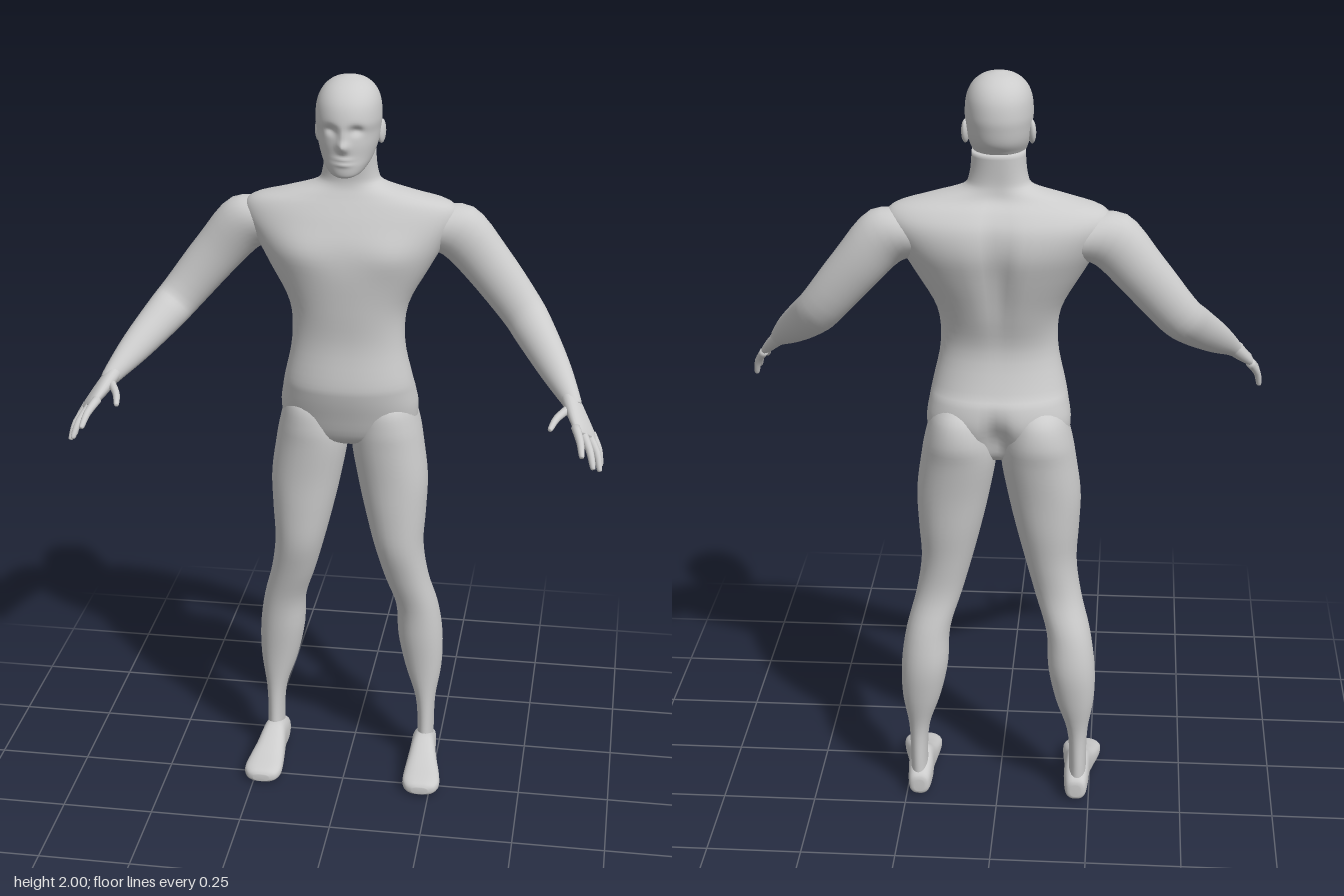
import * as THREE from 'three';

const V = (x, y, z) => new THREE.Vector3(x, y, z);
const skin = new THREE.MeshStandardMaterial({ color: 0xcccccc });
skin.name = 'plain grey';

const bump = (d, w) => Math.exp(-(d * d) / (w * w));
const power = (n, p) => Math.sign(n) * Math.abs(n) ** p;

// Smooth skin over elliptical sections {c, u, v}: centre and two half axes
function loft(name, sections, { seg = 28, sub = 4, p = 1, side = 1, sculpt } = {}) {
  const curves = ['c', 'u', 'v'].map(k => sections.map(s => s[k]));
  const last = sections.length - 1, rows = last * sub;
  const sample = (pts, t) => {
    const i = Math.min(Math.floor(t), last - 1), f = t - i;
    const at = j => pts[Math.max(0, Math.min(last, j))];
    const mix = k => {
      const [a, b, c, d] = [at(i - 1)[k], at(i)[k], at(i + 1)[k], at(i + 2)[k]];
      return b + 0.5 * f * (c - a + f * (2 * a - 5 * b + 4 * c - d + f * (3 * (b - c) + d - a)));
    };
    return V(mix('x'), mix('y'), mix('z'));
  };
  const pos = [], idx = [];
  const push = q => { if (sculpt) sculpt(q); pos.push(q.x * side, q.y, q.z); };
  for (let r = 0; r <= rows; r++) {
    const [c, u, v] = curves.map(pts => sample(pts, r / sub));
    for (let j = 0; j < seg; j++) {
      const a = (j / seg) * Math.PI * 2;
      push(c.clone().addScaledVector(u, power(Math.cos(a), p)).addScaledVector(v, power(Math.sin(a), p)));
    }
  }
  push(sections[0].c.clone());
  push(sections[last].c.clone());
  const capA = (rows + 1) * seg, capB = capA + 1;
  for (let j = 0; j < seg; j++) {
    const k = (j + 1) % seg, e = rows * seg;
    for (let r = 0; r < rows; r++) {
      const a = r * seg + j, b = r * seg + k;
      idx.push(a, b, b + seg, a, b + seg, a + seg);
    }
    idx.push(capA, k, j, capB, e + j, e + k);
  }
  // Turn the faces outward whichever way the sections run
  let volume = 0;
  const P = i => V(pos[i * 3], pos[i * 3 + 1], pos[i * 3 + 2]);
  for (let i = 0; i < idx.length; i += 3) volume += P(idx[i]).dot(P(idx[i + 1]).cross(P(idx[i + 2])));
  if (volume < 0) idx.reverse();
  const g = new THREE.BufferGeometry();
  g.setAttribute('position', new THREE.Float32BufferAttribute(pos, 3));
  g.setIndex(idx);
  g.computeVertexNormals();
  const mesh = new THREE.Mesh(g, skin);
  mesh.name = name;
  return mesh;
}

// Level section between x0..x1 and z front..back; the front may be at another height
const level = (y, x0, x1, zf, zb, yb = y) => ({
  c: V((x0 + x1) / 2, (y + yb) / 2, (zf + zb) / 2),
  u: V((x1 - x0) / 2, 0, 0),
  v: V(0, (y - yb) / 2, (zf - zb) / 2),
});

// Sections square to a path of [x, y, z, thickness, width]; width runs along ref
function along(points, ref) {
  const c = points.map(q => V(q[0], q[1], q[2]));
  return points.map((q, i) => {
    const t = c[Math.min(i + 1, c.length - 1)].clone().sub(c[Math.max(i - 1, 0)]).normalize();
    const w = ref.clone().addScaledVector(t, -ref.dot(t)).normalize();
    return { c: c[i], u: t.clone().cross(w).multiplyScalar(q[3]), v: w.multiplyScalar(q[4]) };
  });
}

export function createModel() {
  const model = new THREE.Group();
  model.name = 'human figure';

  // Torso and neck: height, half width, front z, back z
  const torso = [
    [1.0, 0.07, -0.09, -0.18], [1.03, 0.165, -0.045, -0.21], [1.1, 0.185, -0.02, -0.24],
    [1.16, 0.178, -0.003, -0.235], [1.2, 0.17, 0, -0.215], [1.3, 0.15, -0.012, -0.192],
    [1.4, 0.157, -0.006, -0.217], [1.5, 0.21, 0, -0.247], [1.57, 0.25, -0.007, -0.263],
    [1.63, 0.28, -0.03, -0.255], [1.67, 0.262, -0.05, -0.228], [1.695, 0.18, -0.063, -0.2],
    [1.72, 0.092, -0.073, -0.19], [1.75, 0.072, -0.073, -0.187], [1.81, 0.066, -0.06, -0.19],
  ].map(([y, w, f, b]) => level(y, -w, w, f, b));
  model.add(loft('torso', torso, {
    seg: 56, p: 0.92,
    sculpt: q => {
      if (q.z < -0.15) { // spine furrow and cleft
        q.z += bump(q.x, 0.03) * (0.022 * bump(q.y - 1.53, 0.14) + 0.035 * bump(q.y - 1.07, 0.06));
      } else { // chest muscles
        q.z += 0.01 * bump(Math.abs(q.x) - 0.12, 0.07) * bump(q.y - 1.55, 0.05);
      }
    },
  }));

  // Head: front height, back height, half width, front z, back z
  const head = [
    [1.757, 1.768, 0.018, -0.015, -0.05], [1.764, 1.778, 0.042, -0.002, -0.11],
    [1.785, 1.8, 0.06, 0.002, -0.17], [1.81, 1.82, 0.07, 0, -0.19], [1.84, 1.84, 0.077, 0.001, -0.203],
    [1.87, 1.87, 0.081, 0, -0.21], [1.9, 1.9, 0.084, 0.005, -0.213], [1.94, 1.94, 0.08, -0.006, -0.206],
    [1.97, 1.97, 0.066, -0.03, -0.187], [1.99, 1.99, 0.042, -0.063, -0.157], [2.0, 2.0, 0.01, -0.1, -0.12],
  ].map(([yf, yb, w, f, b]) => level(yf, -w, w, f, b, yb));
  model.add(loft('head', head, {
    seg: 72, sub: 7, p: 0.95,
    sculpt: q => {
      if (q.z < -0.07) return;
      q.z += 0.02 * bump(q.x, 0.013) * bump(q.y - 1.842, 0.015) // nose tip
        + 0.01 * bump(q.x, 0.011) * bump(q.y - 1.868, 0.018) // nose bridge
        + 0.005 * bump(q.x, 0.022) * (bump(q.y - 1.809, 0.006) + bump(q.y - 1.796, 0.006)) // lips
        - 0.013 * bump(Math.abs(q.x) - 0.032, 0.015) * bump(q.y - 1.882, 0.012); // eye sockets
    },
  }));

  // Arm, palm and finger paths
  const arm = along([
    [0.2, 1.6, -0.15, 0.058, 0.07], [0.28, 1.592, -0.15, 0.074, 0.064], [0.36, 1.505, -0.15, 0.066, 0.056],
    [0.45, 1.395, -0.13, 0.058, 0.05], [0.49, 1.35, -0.085, 0.054, 0.047],
    [0.55, 1.285, 0.005, 0.042, 0.037], [0.595, 1.235, 0.08, 0.026, 0.026], [0.607, 1.219, 0.1, 0.02, 0.024],
  ], V(0, 0, 1));
  const across = V(0.574, -0.502, -0.646);
  const palm = along([
    [0.59, 1.241, 0.072, 0.02, 0.024], [0.612, 1.212, 0.115, 0.019, 0.034],
    [0.635, 1.183, 0.16, 0.014, 0.042], [0.643, 1.172, 0.177, 0.008, 0.036],
  ], across);
  const fingers = {
    thumb: [[0.6, 1.222, 0.1], [0.567, 1.214, 0.165], [0.552, 1.203, 0.22]],
    indexFinger: [[0.615, 1.198, 0.178], [0.629, 1.178, 0.228], [0.636, 1.152, 0.264]],
    middleFinger: [[0.629, 1.186, 0.164], [0.653, 1.153, 0.217], [0.665, 1.115, 0.247]],
    ringFinger: [[0.642, 1.175, 0.15], [0.67, 1.137, 0.188], [0.681, 1.096, 0.213]],
    littleFinger: [[0.653, 1.166, 0.135], [0.674, 1.131, 0.155], [0.682, 1.091, 0.167]],
  };

  // Leg: height, inner x, outer x, front z, back z
  const leg = [
    [1.16, 0.06, 0.14, -0.08, -0.2], [1.12, 0.03, 0.172, -0.035, -0.24], [1.06, 0.012, 0.19, -0.025, -0.252],
    [1.0, 0.006, 0.201, -0.028, -0.241], [0.9, 0.023, 0.214, -0.034, -0.225], [0.8, 0.045, 0.211, -0.036, -0.214],
    [0.7, 0.07, 0.206, -0.042, -0.2], [0.6, 0.098, 0.22, -0.066, -0.196], [0.5, 0.129, 0.246, -0.09, -0.22],
    [0.4, 0.135, 0.26, -0.1, -0.232], [0.3, 0.156, 0.259, -0.11, -0.221], [0.2, 0.188, 0.244, -0.114, -0.202],
    [0.1, 0.195, 0.241, -0.11, -0.204], [0.03, 0.19, 0.243, -0.1, -0.206],
  ].map(s => level(...s));

  // Foot: z, centre x, half width, top y, bottom y
  const foot = [
    [-0.215, 0.215, 0.014, 0.05, 0.015], [-0.206, 0.215, 0.028, 0.068, 0.004], [-0.16, 0.215, 0.034, 0.09, 0],
    [-0.11, 0.217, 0.035, 0.1, 0], [-0.06, 0.22, 0.042, 0.076, 0], [-0.01, 0.224, 0.05, 0.057, 0],
    [0.03, 0.226, 0.052, 0.046, 0], [0.054, 0.226, 0.041, 0.038, 0.002], [0.063, 0.226, 0.022, 0.028, 0.008],
  ].map(([z, x, w, top, low]) => ({
    c: V(x, (top + low) / 2, z), u: V(w, 0, 0), v: V(0, (top - low) / 2, 0),
  }));

  for (const [label, side] of [['left', 1], ['right', -1]]) {
    const limb = new THREE.Group();
    limb.name = label + 'Limbs';
    limb.add(loft(label + 'Arm', arm, { side }));
    limb.add(loft(label + 'Palm', palm, { side, seg: 20, p: 0.9 }));
    for (const [name, [a, b, c]] of Object.entries(fingers)) {
      const end = c.map((n, i) => n - (c[i] - b[i]) * 0.12);
      const path = [[...a, 0.012, 0.012], [...b, 0.0095, 0.0095], [...end, 0.007, 0.007], [...c, 0.002, 0.002]];
      limb.add(loft(label + ' ' + name, along(path, across), { side, seg: 12, sub: 3 }));
    }
    limb.add(loft(label + 'Leg', leg, { side, p: 0.95 }));
    limb.add(loft(label + 'Foot', foot, { side, p: 0.75 }));

    // Ear
    const ear = new THREE.Mesh(new THREE.SphereGeometry(1, 16, 12), skin);
    ear.name = label + 'Ear';
    ear.scale.set(0.01, 0.031, 0.018);
    ear.position.set(side * 0.081, 1.855, -0.125);
    ear.rotation.set(-0.15, side * -0.25, 0);
    limb.add(ear);
    model.add(limb);
  }
  return model;
}
